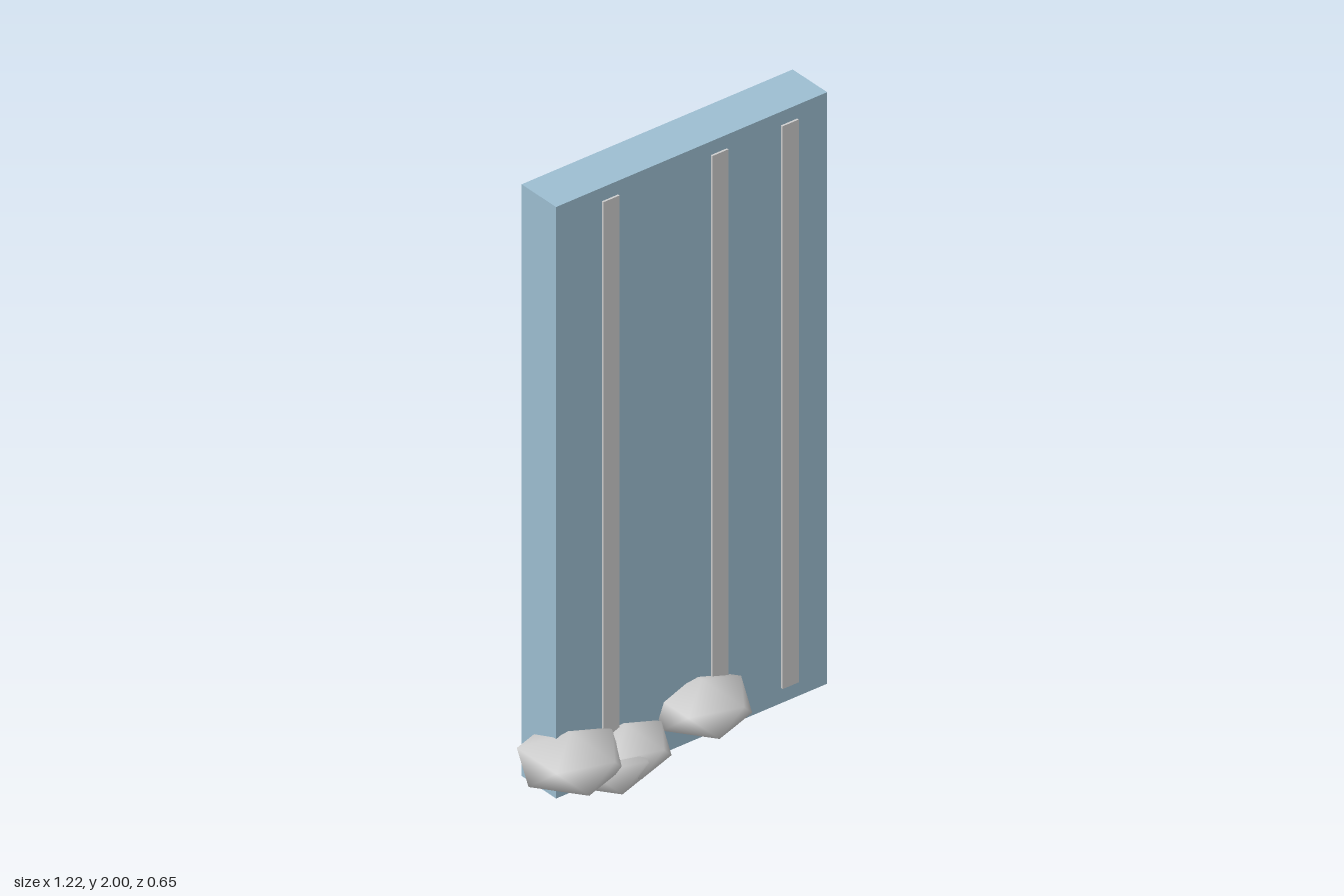
import * as THREE from 'three';
import { mergeVertices } from 'three/addons/utils/BufferGeometryUtils.js';

// Box given by its min and max on each axis
function slab(name, [x0, x1], [y0, y1], [z0, z1], material) {
  const mesh = new THREE.Mesh(new THREE.BoxGeometry(x1 - x0, y1 - y0, z1 - z0), material);
  mesh.position.set((x0 + x1) / 2, (y0 + y1) / 2, (z0 + z1) / 2);
  mesh.name = name;
  return mesh;
}

// Smooth-shaded flattened icosahedron, one corner straight up
function rockGeometry() {
  const ico = new THREE.IcosahedronGeometry(1, 0);
  ico.deleteAttribute('normal');
  ico.deleteAttribute('uv');
  const geo = mergeVertices(ico, 1e-3);
  geo.rotateX(-Math.atan((1 + Math.sqrt(5)) / 2));
  geo.rotateY(Math.PI / 2);
  geo.scale(1, 0.5, 1);
  geo.computeVertexNormals();
  return geo;
}

export function createModel() {
  const model = new THREE.Group();
  model.name = 'waterfall';
  const grey = new THREE.MeshStandardMaterial({ color: 0xcccccc });
  const water = new THREE.MeshStandardMaterial({ color: 0x9cbdd0 });

  // Sheet of falling water
  model.add(slab('waterSheet', [-0.498, 0.478], [0.045, 2], [0.008, 0.163], water));

  // Foam streaks, slightly proud of the sheet on both faces
  for (const x of [-0.304, 0.088, 0.341]) {
    model.add(slab('foamStreak', [x - 0.029, x + 0.029], [0.095, 1.955], [0, 0.17], grey));
  }

  // Rocks around the foot: x, y, z, radius
  const geo = rockGeometry();
  const rocks = [
    [0.097, 0.088, -0.18, 0.176],
    [0.509, 0.113, -0.065, 0.11],
    [0.005, 0.177, 0.189, 0.159],
    [-0.46, 0.172, 0.179, 0.168],
    [-0.26, 0.131, 0.176, 0.146],
    [-0.328, 0.115, 0.166, 0.163],
  ];
  for (const [x, y, z, r] of rocks) {
    const rock = new THREE.Mesh(geo, grey);
    rock.name = 'rock';
    rock.position.set(x, y, z);
    rock.scale.setScalar(r);
    model.add(rock);
  }
  return model;
}
